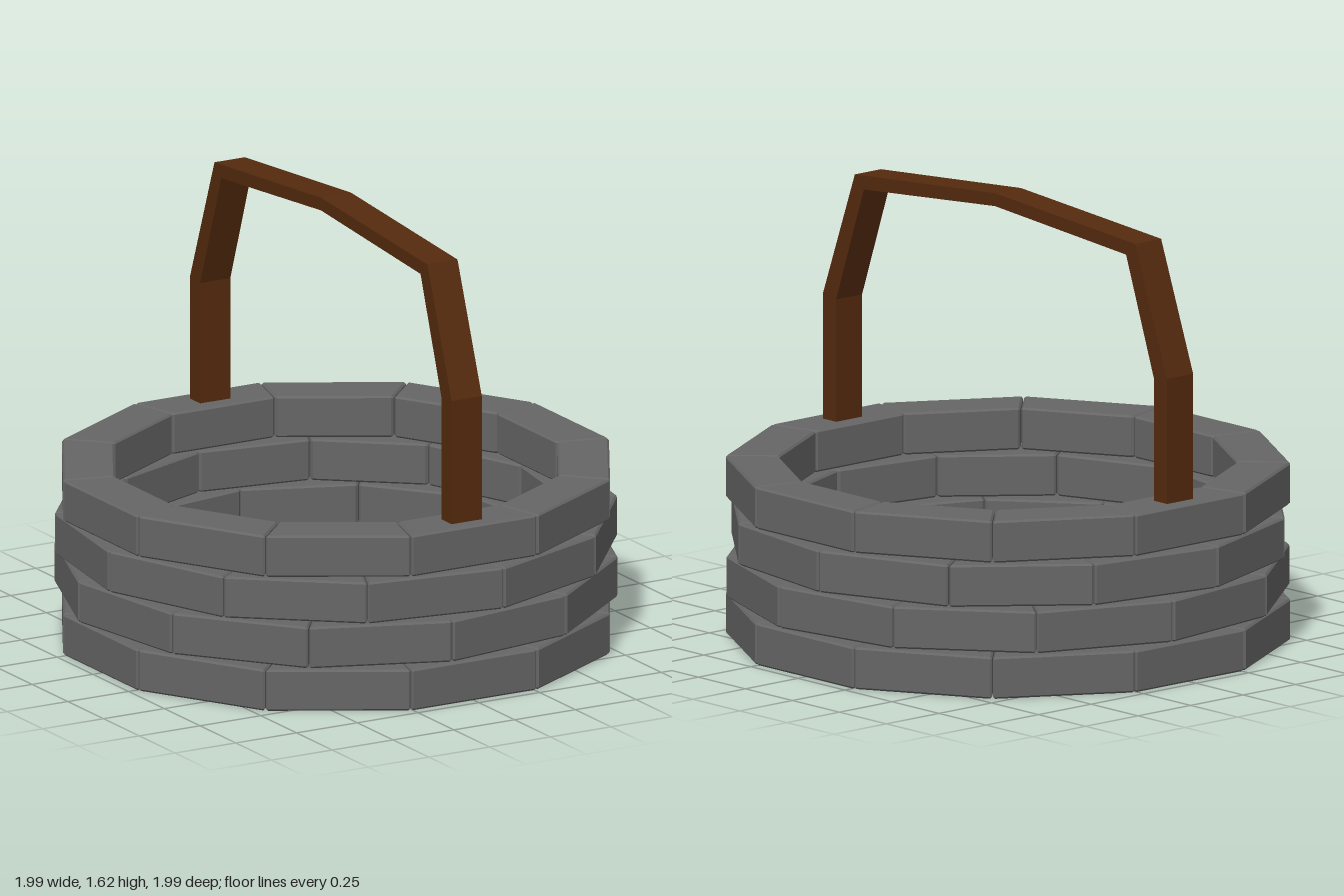
import * as THREE from 'three';

const SIDES = 12, INNER = 0.785, OUTER = 0.97, HEIGHT = 0.152, PITCH = 0.165, BEVEL = 0.007;

// Wedge-shaped stone facing +z, with small chamfers on every edge
function stoneGeometry() {
  const t = Math.tan(Math.PI / SIDES), gap = 0.002;
  const corners = [
    [-OUTER * t + gap, -OUTER], [OUTER * t - gap, -OUTER],
    [INNER * t - gap, -INNER], [-INNER * t + gap, -INNER],
  ].map(([x, y]) => new THREE.Vector2(x, y));
  const points = [];
  corners.forEach((c, i) => {
    for (const n of [corners[(i + 3) % 4], corners[(i + 1) % 4]]) {
      points.push(c.clone().add(n.clone().sub(c).setLength(BEVEL)));
    }
  });
  const geometry = new THREE.ExtrudeGeometry(new THREE.Shape(points), {
    depth: HEIGHT - 2 * BEVEL, bevelEnabled: true, bevelSegments: 1,
    bevelThickness: BEVEL, bevelSize: BEVEL, bevelOffset: -BEVEL,
  });
  return geometry.rotateX(-Math.PI / 2).translate(0, BEVEL, 0);
}

// Gently rippled disc of water
function waterGeometry() {
  const geometry = new THREE.RingGeometry(0, 0.795, 24, 6).rotateX(-Math.PI / 2);
  const p = geometry.attributes.position;
  for (let i = 0; i < p.count; i++) {
    p.setY(i, 0.006 * Math.sin(5 * p.getX(i) + 1) * Math.cos(4 * p.getZ(i)));
  }
  geometry.computeVertexNormals();
  return geometry;
}

// Bent timber arch: half of the outline is mirrored, then given its width
function handleGeometry() {
  const width = 0.124;
  const outer = [[0.915, 0.64], [0.915, 1.105], [0.745, 1.567], [0, 1.625]];
  const inner = [[0, 1.578], [0.697, 1.52], [0.845, 1.095], [0.845, 0.64]];
  const mirror = (list) => list.map(([z, y]) => [-z, y]).reverse();
  const outline = [...outer, ...mirror(outer).slice(1), ...mirror(inner), ...inner.slice(1)];
  const shape = new THREE.Shape(outline.map(([z, y]) => new THREE.Vector2(z, y)));
  return new THREE.ExtrudeGeometry(shape, { depth: width, bevelEnabled: false })
    .translate(0, 0, -width / 2).rotateY(-Math.PI / 2);
}

export function createModel() {
  const model = new THREE.Group();
  model.name = 'stoneWell';
  const stone = new THREE.MeshStandardMaterial({ color: 0x666666, flatShading: true });
  const wood = new THREE.MeshStandardMaterial({ color: 0x552a0e, flatShading: true });
  const blue = new THREE.MeshStandardMaterial({ color: 0x1064b0, side: THREE.DoubleSide });

  // Four courses of stones, the middle two turned against each other
  const block = stoneGeometry();
  [0, 9, -9, 0].forEach((turn, row) => {
    const course = new THREE.Group();
    course.name = `stoneCourse${row + 1}`;
    course.position.y = 0.003 + row * PITCH;
    course.rotation.y = THREE.MathUtils.degToRad(turn);
    for (let i = 0; i < SIDES; i++) {
      const mesh = new THREE.Mesh(block, stone);
      mesh.name = `stone${i + 1}`;
      mesh.rotation.y = (i / SIDES) * Math.PI * 2;
      course.add(mesh);
    }
    model.add(course);
  });

  const water = new THREE.Mesh(waterGeometry(), blue);
  water.name = 'water';
  water.position.y = 0.085;
  model.add(water);

  const handle = new THREE.Mesh(handleGeometry(), wood);
  handle.name = 'woodenArch';
  model.add(handle);

  return model;
}
